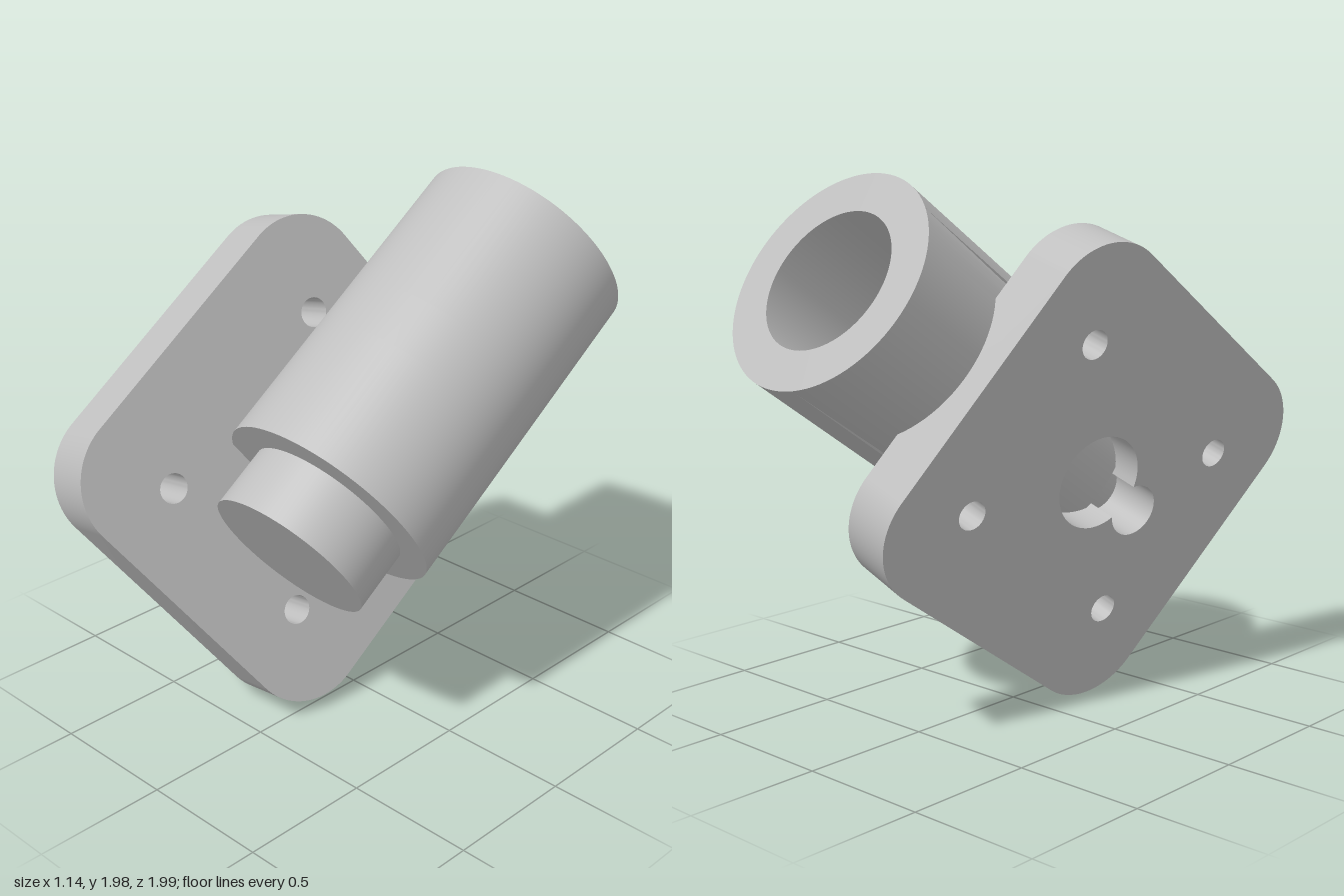
import * as THREE from 'three';
import { toCreasedNormals } from 'three/addons/utils/BufferGeometryUtils.js';

// Local frame: X along the tube, Y out of the plate face, Z across the plate.
const HALF = 0.724, CORNER = 0.265, THICK = 0.218;
const AXIS = 0.312, R_TUBE = 0.422, R_PLUG = 0.31, R_BORE = 0.27;
const TUBE_START = -0.154, TUBE_END = 1.105, PLUG_END = -0.39;
const HOLE_X = 0.425, HOLE_Z = 0.36, R_HOLE = 0.055, R_HEAD = 0.1, HEAD_TOP = 0.11;

// Rounded square plate with four screw holes and a keyhole
function plateGeometry() {
  const h = HALF, k = HALF - CORNER, q = Math.PI / 2;
  const shape = new THREE.Shape();
  shape.moveTo(h, -k);
  shape.absarc(k, k, CORNER, 0, q);
  shape.absarc(-k, k, CORNER, q, 2 * q);
  shape.absarc(-k, -k, CORNER, 2 * q, 3 * q);
  shape.absarc(k, -k, CORNER, 3 * q, 4 * q);
  for (const sx of [-1, 1]) for (const sz of [-1, 1]) {
    shape.holes.push(new THREE.Path().absarc(sx * HOLE_X, sz * HOLE_Z, R_HOLE, 0, Math.PI * 2, true));
  }
  const key = new THREE.Path();
  const a = Math.atan2(0.068, -0.1667), b = Math.atan2(0.068, 0.0733);
  key.absarc(0, 0, 0.18, a, -a, true);
  key.absarc(-0.24, 0, 0.1, -b, b, true);
  shape.holes.push(key);
  const geo = new THREE.ExtrudeGeometry(shape, { depth: THICK, bevelEnabled: false, curveSegments: 20 });
  geo.rotateX(Math.PI / 2);
  return toCreasedNormals(geo, 0.6);
}

// Outer tube wall, pressed in where the screw heads need clearance
function tubeWallGeometry() {
  const xs = [TUBE_START];
  for (let i = 0; i <= 20; i++) xs.push(HOLE_X - R_HEAD * Math.cos(Math.PI * i / 20));
  xs.push(TUBE_END);
  const angles = [];
  for (let j = 0; j <= 96; j++) angles.push(Math.PI * 2 * j / 96);
  const lip = Math.acos((HEAD_TOP - AXIS) / R_TUBE);
  for (const e of [-0.0005, 0.0005]) angles.push(lip + e, Math.PI * 2 - lip + e);
  angles.sort((p, q) => p - q);

  const pos = [], index = [], n = angles.length;
  xs.forEach((x, i) => angles.forEach((t, j) => {
    const y = AXIS + R_TUBE * Math.cos(t);
    let z = R_TUBE * Math.sin(t);
    const d = Math.abs(x - HOLE_X);
    if (y < HEAD_TOP && d <= R_HEAD + 1e-6) {
      const limit = HOLE_Z - Math.sqrt(Math.max(0, R_HEAD * R_HEAD - d * d));
      z = THREE.MathUtils.clamp(z, -limit, limit);
    }
    pos.push(x, y, z);
    if (i < xs.length - 1 && j < n - 1) {
      const p = i * n + j;
      index.push(p, p + 1, p + n, p + 1, p + n + 1, p + n);
    }
  }));
  const geo = new THREE.BufferGeometry();
  geo.setAttribute('position', new THREE.Float32BufferAttribute(pos, 3));
  geo.setIndex(index);
  return toCreasedNormals(geo, 0.6);
}

// Turned part about the tube axis from [radius, distance along axis] points
function turned(points) {
  const geo = new THREE.LatheGeometry(points.map(p => new THREE.Vector2(p[0], p[1])), 96);
  geo.rotateZ(-Math.PI / 2);
  geo.translate(0, AXIS, 0);
  return toCreasedNormals(geo, 0.6);
}

export function createModel() {
  const grey = new THREE.MeshStandardMaterial({ color: 0xbfbfbf });
  grey.name = 'light grey';
  const body = new THREE.Group();
  body.name = 'bracket';
  const add = (name, geo) => {
    const mesh = new THREE.Mesh(geo, grey);
    mesh.name = name;
    body.add(mesh);
  };

  add('mountingPlate', plateGeometry());
  add('tubeWall', tubeWallGeometry());
  add('tubeRimAndBore', turned([[R_TUBE, TUBE_END], [R_BORE, TUBE_END], [R_BORE, -0.12], [0, -0.12]]));
  add('endPlug', turned([[0, PLUG_END], [R_PLUG, PLUG_END], [R_PLUG, TUBE_START], [R_TUBE, TUBE_START]]));

  // Tilt the bracket: tube rises towards the back, plate leans on its side
  const rise = 0.6, lean = 0.3;
  const along = new THREE.Vector3(0, Math.sin(rise), -Math.cos(rise));
  const up = new THREE.Vector3(0, Math.cos(rise), Math.sin(rise));
  const out = new THREE.Vector3(Math.cos(lean), 0, 0).addScaledVector(up, Math.sin(lean));
  const across = new THREE.Vector3().crossVectors(along, out);
  body.quaternion.setFromRotationMatrix(new THREE.Matrix4().makeBasis(along, out, across));
  body.position.set(-0.153, 0.945, 0.1);

  const model = new THREE.Group();
  model.name = 'model';
  model.add(body);
  return model;
}
